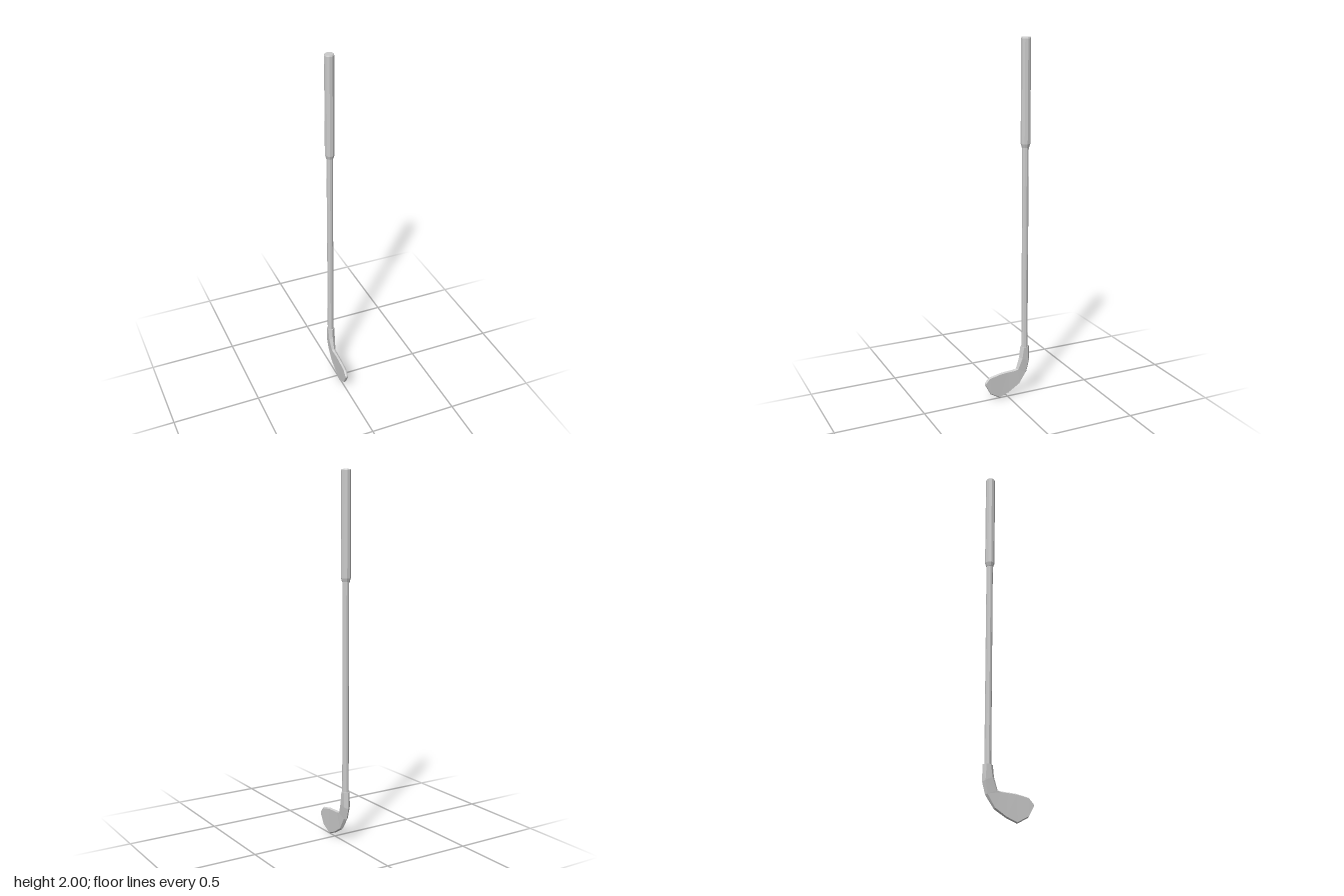
import * as THREE from 'three';

const AXIS_Z = -0.106;
const material = new THREE.MeshStandardMaterial({ color: 0xcccccc, flatShading: true });

// Ten-sided turned part around the shaft axis, profile given as [radius, y]
function turned(name, profile) {
  const points = profile.map(([r, y]) => new THREE.Vector2(r, y));
  const mesh = new THREE.Mesh(new THREE.LatheGeometry(points, 10, Math.PI / 2), material);
  mesh.name = name;
  mesh.position.z = AXIS_Z;
  return mesh;
}

// Six-sided section between a front/top ridge and a back/bottom ridge
function section([az, ay, bz, by, wa, wb, inset]) {
  const a = new THREE.Vector3(0, ay, az);
  const b = new THREE.Vector3(0, by, bz);
  const step = b.clone().sub(a).setLength(inset);
  const ia = a.clone().add(step);
  const ib = b.clone().sub(step);
  const side = (p, x) => new THREE.Vector3(x, p.y, p.z);
  return [a, side(ia, wa), side(ib, wb), b, side(ib, -wb), side(ia, -wa)];
}

function headGeometry() {
  // front z, y, back z, y, half width at front, at back, bevel depth
  const rings = [
    [-0.079, 0.29, -0.134, 0.29, 0.019, 0.019, 0.016],
    [-0.073, 0.23, -0.135, 0.2, 0.018, 0.018, 0.014],
    [-0.053, 0.163, -0.119, 0.135, 0.012, 0.013, 0.01],
    [-0.035, 0.16, -0.072, 0.066, 0.01, 0.01, 0.007],
    [0.0, 0.158, -0.01, 0.028, 0.009, 0.008, 0.006],
    [0.045, 0.155, 0.048, 0.004, 0.009, 0.007, 0.006],
    [0.111, 0.141, 0.106, 0.038, 0.009, 0.008, 0.006],
    [0.136, 0.112, 0.134, 0.092, 0.008, 0.008, 0.005],
  ].map(section);
  const pos = [];
  const tri = (...pts) => pts.forEach((p) => pos.push(p.x, p.y, p.z));

  // Side skin
  for (let s = 0; s < rings.length - 1; s++) {
    const r = rings[s], n = rings[s + 1];
    for (let i = 0; i < 6; i++) {
      const j = (i + 1) % 6;
      tri(r[i], n[i], n[j]);
      tri(r[i], n[j], r[j]);
    }
  }
  // End caps; the toe cap bulges to a ridge
  const first = rings[0], last = rings[rings.length - 1];
  const tip = new THREE.Vector3(0, 0.102, 0.139);
  for (let i = 1; i < 5; i++) tri(first[0], first[i], first[i + 1]);
  for (let i = 0; i < 6; i++) tri(tip, last[(i + 1) % 6], last[i]);

  const geometry = new THREE.BufferGeometry();
  geometry.setAttribute('position', new THREE.Float32BufferAttribute(pos, 3));
  geometry.computeVertexNormals();
  return geometry;
}

export function createModel() {
  const club = new THREE.Group();
  club.name = 'golfClub';

  // Grip with chamfered ends
  club.add(turned('grip', [[0, 1.425], [0.02, 1.425], [0.026, 1.445], [0.026, 1.993], [0.023, 2], [0, 2]]));

  // Slim shaft running into the hosel
  club.add(turned('shaft', [[0, 0.27], [0.0175, 0.27], [0.0175, 1.43], [0, 1.43]]));

  // Hosel and blade in one skin
  const head = new THREE.Mesh(headGeometry(), material);
  head.name = 'head';
  club.add(head);
  return club;
}
